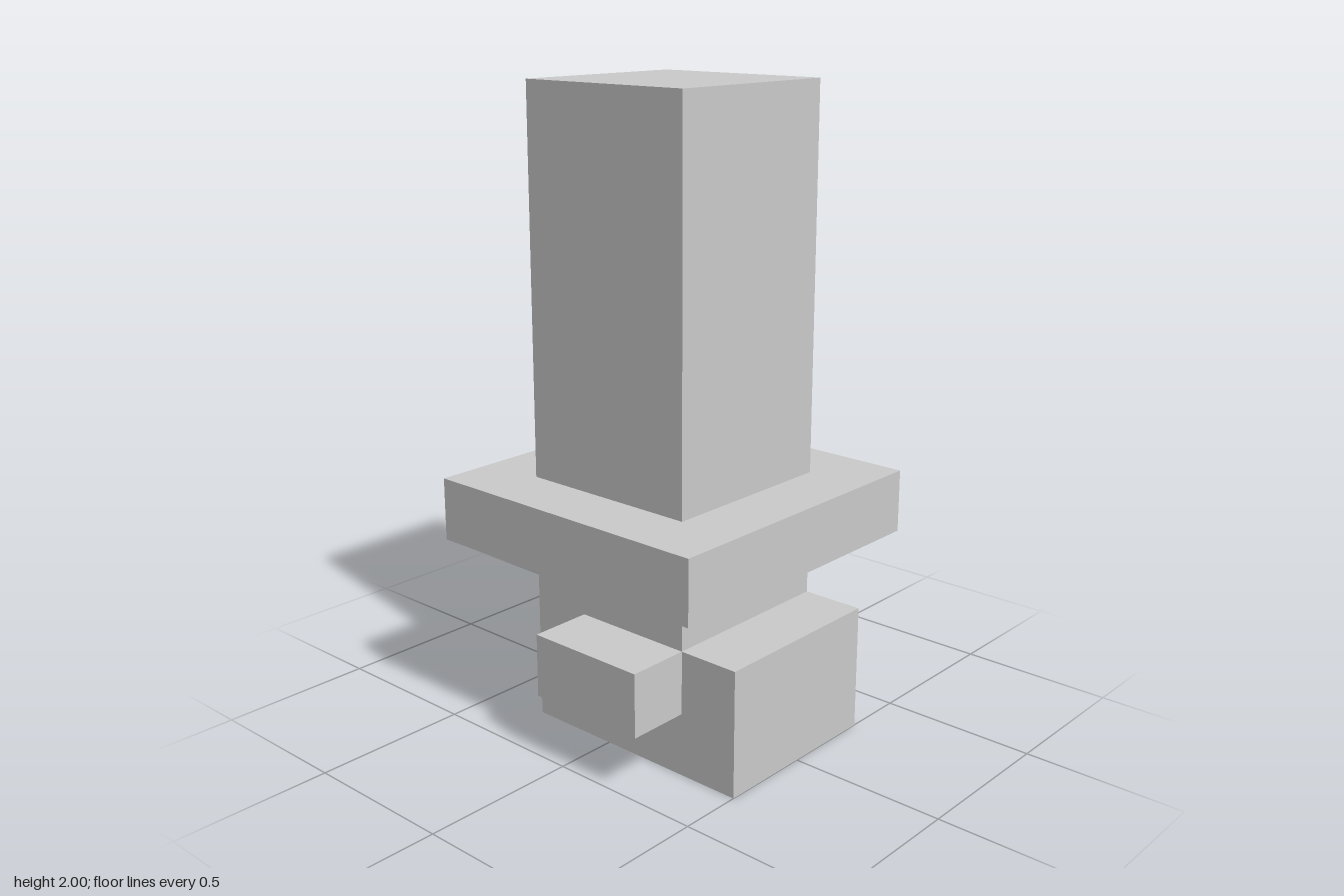
import * as THREE from 'three';

export function createModel() {
  const model = new THREE.Group();
  const lightGrey = new THREE.MeshStandardMaterial({ color: 0xcccccc });
  lightGrey.name = 'lightGrey';

  const add = (name, geometry) => {
    const mesh = new THREE.Mesh(geometry, lightGrey);
    mesh.name = name;
    model.add(mesh);
  };

  // Box given by its low and high corners
  const box = (name, [x0, y0, z0], [x1, y1, z1]) =>
    add(name, new THREE.BoxGeometry(x1 - x0, y1 - y0, z1 - z0)
      .translate((x0 + x1) / 2, (y0 + y1) / 2, (z0 + z1) / 2));

  // Lower body with a step on its left side, one L-shaped section
  const section = new THREE.Shape([
    [-0.3, 0], [0.5, 0], [0.5, 0.4], [0.3, 0.4], [0.3, 0.6], [-0.3, 0.6],
  ].map(([x, y]) => new THREE.Vector2(x, y)));
  add('steppedBase', new THREE.ExtrudeGeometry(section, { depth: 0.6, bevelEnabled: false })
    .translate(0, 0, -0.3));

  // Block projecting from the front
  box('frontBlock', [-0.1, 0.2, 0.3], [0.3, 0.4, 0.5]);

  // Wide collar and tall shaft
  box('collar', [-0.5, 0.6, -0.5], [0.5, 0.8, 0.5]);
  box('shaft', [-0.3, 0.8, -0.3], [0.3, 2, 0.3]);

  return model;
}
